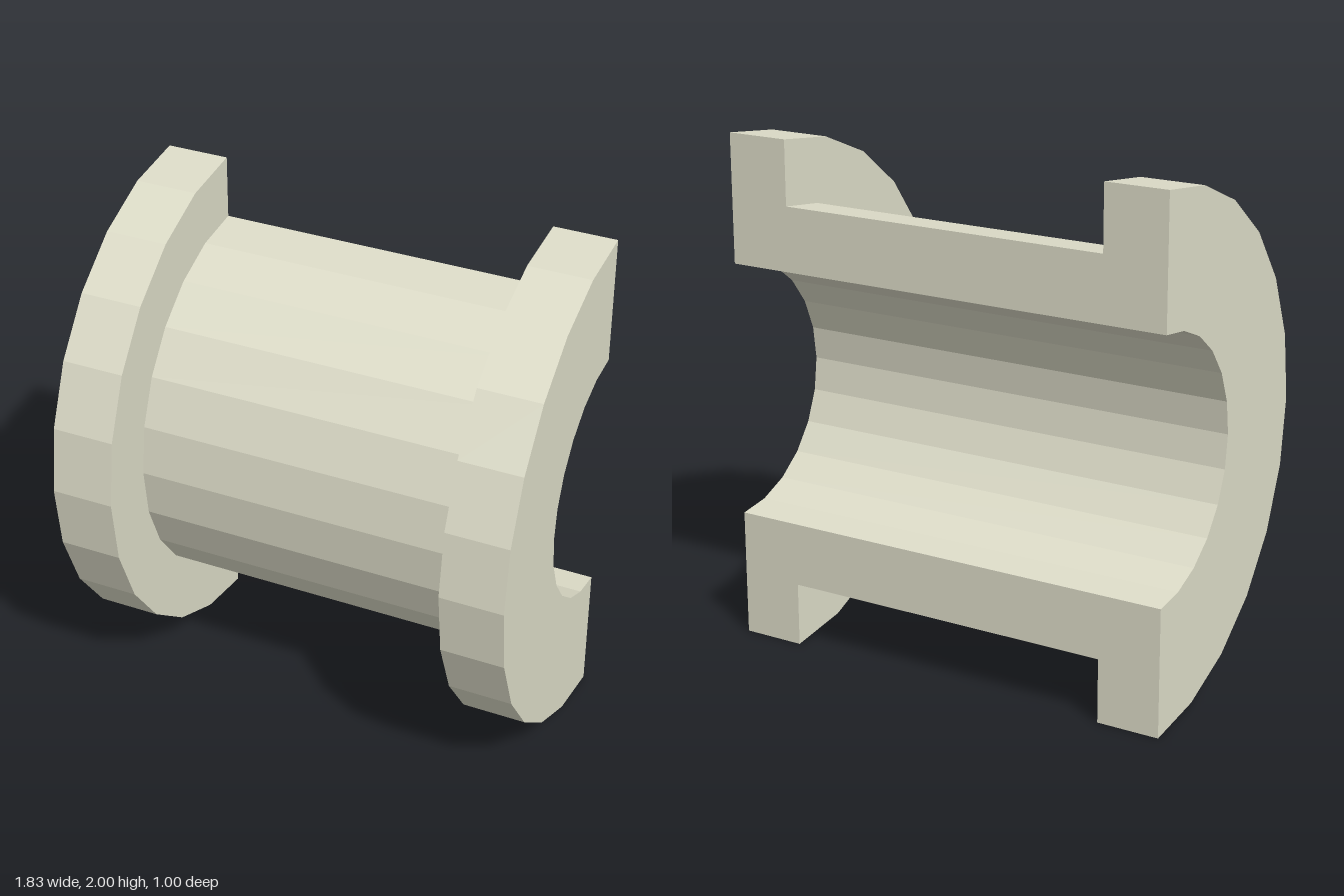
import * as THREE from 'three';

const BORE = 0.5, BARREL = 0.75, FLANGE = 1;   // radii
const INNER_X = 0.665, OUTER_X = 0.913;        // flange faces along the axis
const SEGMENTS = 12;                           // facets over the half turn

export function createModel() {
  const group = new THREE.Group();
  group.name = 'flangedHalfBushing';
  const material = new THREE.MeshStandardMaterial({ color: 0xdddcc8, flatShading: true });

  // Half section as (radius, position along axis), counter-clockwise
  const section = [
    [BORE, -OUTER_X], [FLANGE, -OUTER_X], [FLANGE, -INNER_X], [BARREL, -INNER_X],
    [BARREL, INNER_X], [FLANGE, INNER_X], [FLANGE, OUTER_X], [BORE, OUTER_X],
  ].map(([r, a]) => new THREE.Vector2(r, a));

  const add = (name, geometry) => {
    const mesh = new THREE.Mesh(geometry, material);
    mesh.name = name;
    mesh.position.set(0, 1, -0.5);
    group.add(mesh);
  };

  // Barrel, bore and both flanges, swept half a turn about the x axis
  const shell = new THREE.LatheGeometry([...section, section[0]], SEGMENTS, -Math.PI / 2, Math.PI);
  shell.rotateZ(-Math.PI / 2);
  add('bushingShell', shell);

  // Flat cut faces at the back, above and below the bore
  for (const [name, side] of [['upperCutFace', 1], ['lowerCutFace', -1]]) {
    const outline = new THREE.Shape(section.map(p => new THREE.Vector2(p.y, side * p.x)));
    add(name, new THREE.ShapeGeometry(outline).rotateY(Math.PI));
  }
  return group;
}
